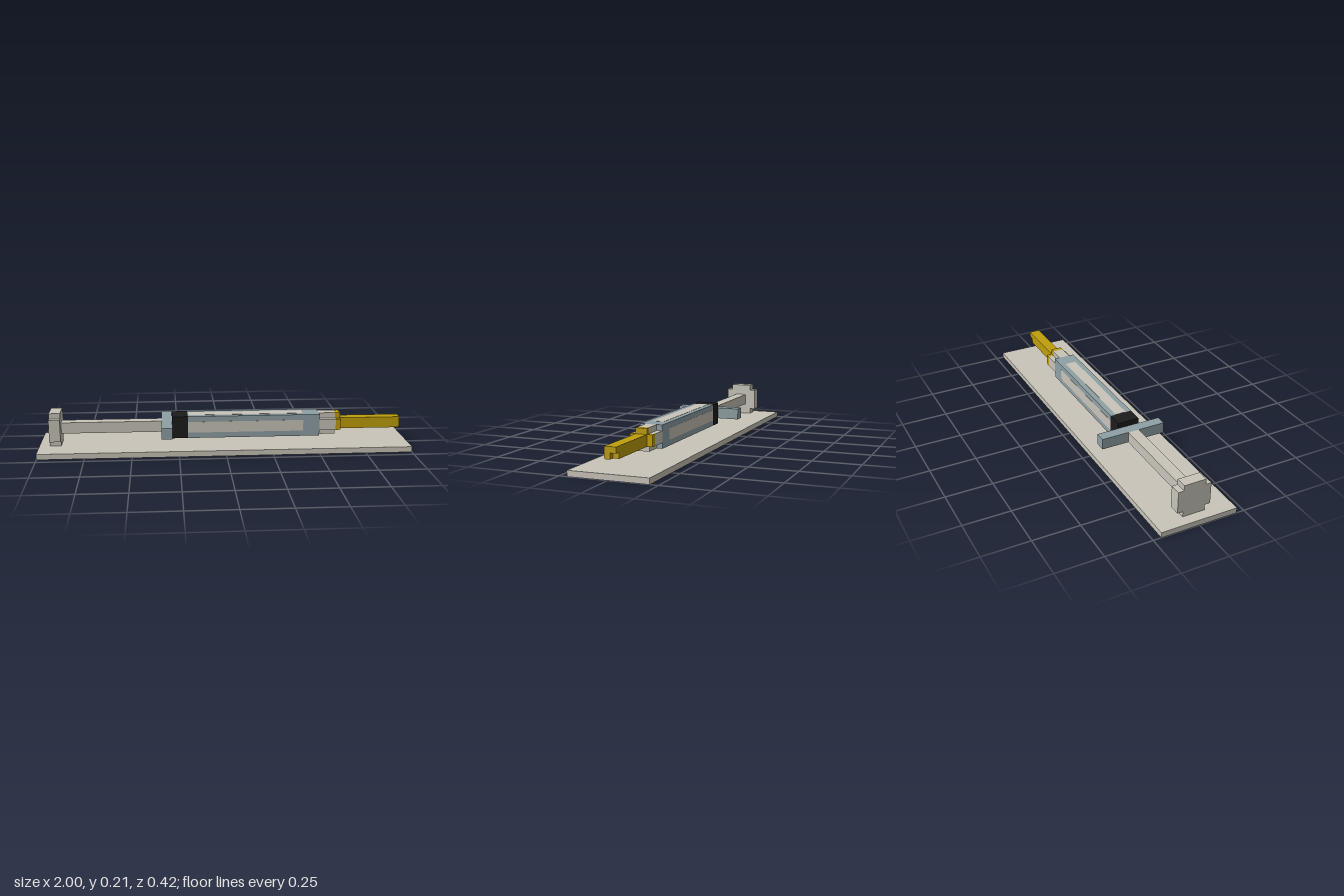
import * as THREE from 'three';

const mat = (name, color) => {
  const m = new THREE.MeshStandardMaterial({ color });
  m.name = name;
  return m;
};

export function createModel() {
  const light = mat('warmGrey', 0xc9c5ba);
  const blue = mat('blueGrey', 0x8fa1a6);
  const gold = mat('gold', 0xbf9f0c);
  const black = mat('black', 0x1c1c1c);

  const model = new THREE.Group();
  model.name = 'syringe';

  // Box given by its limits on each axis
  const block = (name, material, [x0, x1], [y0, y1], [z0, z1], parent = model) => {
    const mesh = new THREE.Mesh(new THREE.BoxGeometry(x1 - x0, y1 - y0, z1 - z0), material);
    mesh.position.set((x0 + x1) / 2, (y0 + y1) / 2, (z0 + z1) / 2);
    mesh.name = name;
    parent.add(mesh);
  };

  // Stepped profile from stacked slabs: [bottom, top, half depth]
  const stepped = (name, material, xs, slabs) => {
    const group = new THREE.Group();
    group.name = name;
    slabs.forEach(([y0, y1, h], i) => block(`${name}Slab${i + 1}`, material, xs, [y0, y1], [-h, h], group));
    model.add(group);
  };

  block('basePlate', light, [-1, 1], [0, 0.03], [-0.208, 0.208]);

  // Plunger
  stepped('thumbRest', light, [-0.943, -0.883], [[0.03, 0.06, 0.06], [0.06, 0.18, 0.09], [0.18, 0.21, 0.06]]);
  block('plungerRod', light, [-0.883, -0.343], [0.09, 0.15], [-0.03, 0.03]);

  // Barrel with finger flange and dark stopper band
  block('fingerFlange', blue, [-0.343, -0.285], [0.09, 0.15], [-0.18, 0.18]);
  block('stopper', black, [-0.285, -0.2], [0.06, 0.18], [-0.06, 0.06]);
  block('barrel', blue, [-0.2, 0.52], [0.06, 0.18], [-0.06, 0.06]);

  // Pale window strips on the four sides of the barrel
  const t = 0.001;
  for (const s of [-1, 1]) {
    const side = [s * 0.06 - t, s * 0.06 + t];
    block(s > 0 ? 'windowFront' : 'windowBack', light, [-0.199, 0.43], [0.09, 0.15], side);
    block(s > 0 ? 'windowTop' : 'windowBottom', light, [-0.199, 0.43], side.map(v => v + 0.12), [-0.03, 0.03]);
  }

  // Nozzle and needle collar
  stepped('nozzle', light, [0.52, 0.61], [[0.06, 0.09, 0.03], [0.09, 0.15, 0.06], [0.15, 0.18, 0.03]]);
  stepped('needleCollar', gold, [0.61, 0.637], [[0.09, 0.15, 0.06], [0.15, 0.18, 0.03]]);

  // Needle with a notched lower corner at the tip
  block('needle', gold, [0.637, 0.94], [0.09, 0.15], [-0.03, 0.03]);
  block('needleTipUpper', gold, [0.94, 0.97], [0.12, 0.15], [-0.03, 0.03]);
  block('needleTipLower', gold, [0.94, 0.97], [0.09, 0.12], [0, 0.03]);

  return model;
}
